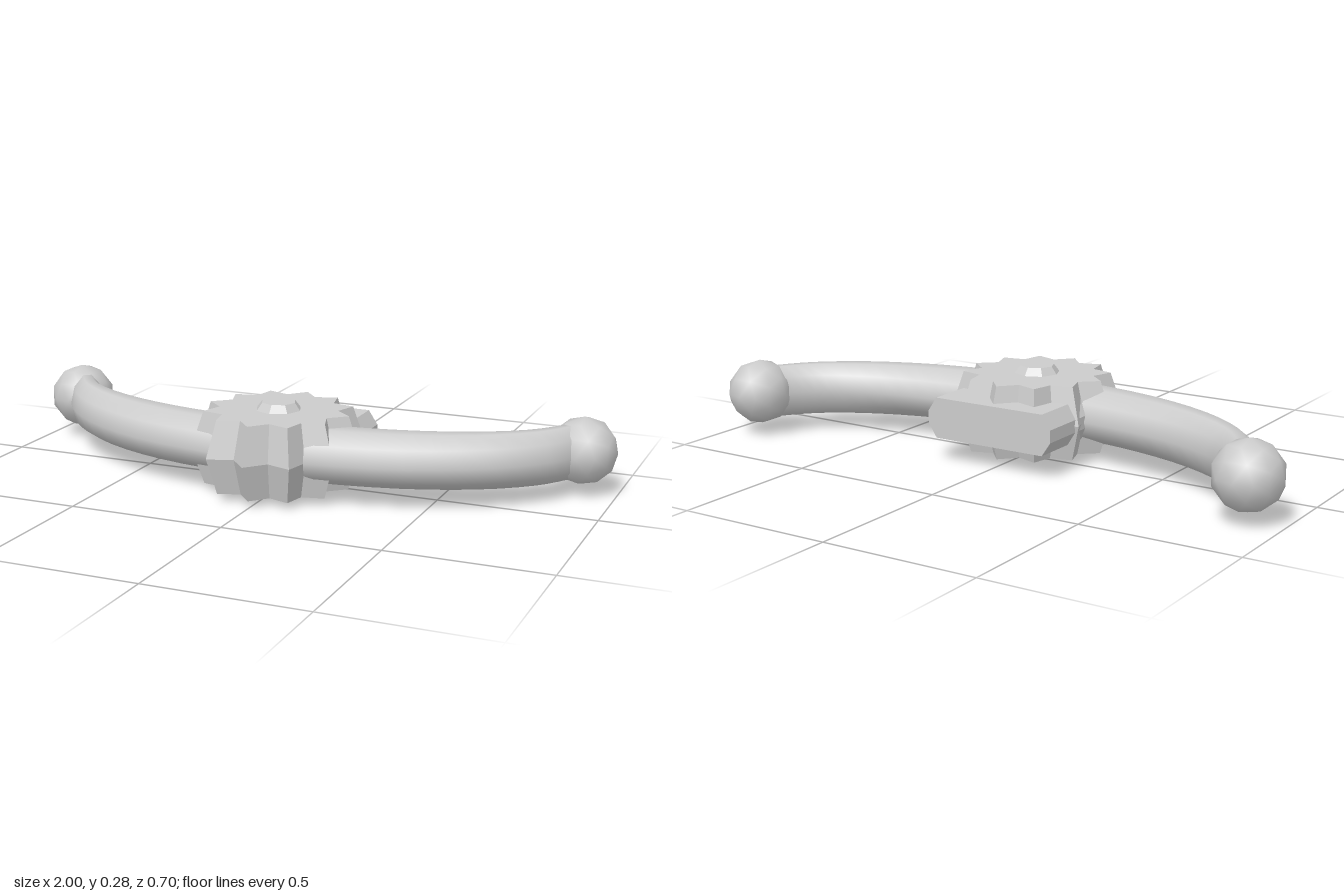
import * as THREE from 'three';

const MID = 0.141;   // mid height of every part
const HUB_Z = 0.077; // axis of the gear and hub

// Faceted normals
function faceted(geometry) {
  const g = geometry.index ? geometry.toNonIndexed() : geometry;
  g.computeVertexNormals();
  return g;
}

// Twelve-pointed gear, swollen at mid height
function gearGeometry() {
  const g = new THREE.CylinderGeometry(1, 1, 0.234, 24, 2);
  const p = g.attributes.position;
  for (let i = 0; i < p.count; i++) {
    const x = p.getX(i), z = p.getZ(i);
    if (Math.hypot(x, z) < 0.5) continue;
    const k = Math.round(Math.atan2(x, z) / (Math.PI / 12));
    const r = (k % 2 === 0 ? 0.235 : 0.187) * (Math.abs(p.getY(i)) < 0.01 ? 1.17 : 1);
    p.setX(i, x * r);
    p.setZ(i, z * r);
  }
  return faceted(g);
}

// Crescent arm running from one end to the other between an outer and an inner curve
function armGeometry() {
  const mirrored = (half) => new THREE.CatmullRomCurve3(
    [...half.slice(1).reverse().map(([x, z]) => [-x, z]), ...half]
      .map(([x, z]) => new THREE.Vector3(x, 0, z)));
  const outer = mirrored([[0, 0.25], [0.155, 0.243], [0.45, 0.183], [0.69, 0.065], [0.835, -0.07], [0.9, -0.18], [0.92, -0.24]]);
  const inner = mirrored([[0, 0], [0.12, -0.001], [0.33, -0.018], [0.53, -0.055], [0.7, -0.125], [0.785, -0.2], [0.82, -0.25]]);
  const section = [[1, 0], [0.8, 0.62], [0.25, 1], [-0.25, 1], [-0.8, 0.62],
    [-1, 0], [-0.8, -0.62], [-0.25, -1], [0.25, -1], [0.8, -0.62]];
  const steps = 36, n = section.length, positions = [], index = [];
  for (let i = 0; i <= steps; i++) {
    const a = outer.getPoint(i / steps), b = inner.getPoint(i / steps);
    for (const [u, v] of section) {
      const q = b.clone().lerp(a, (u + 1) / 2);
      positions.push(q.x, MID + v * 0.085, q.z);
    }
  }
  for (let i = 0; i < steps; i++) {
    for (let j = 0; j < n; j++) {
      const a = i * n + j, b = i * n + (j + 1) % n;
      index.push(a, a + n, b, b, a + n, b + n);
    }
  }
  // End caps
  for (let j = 1; j < n - 1; j++) {
    const e = steps * n;
    index.push(0, j, j + 1, e, e + j + 1, e + j);
  }
  const g = new THREE.BufferGeometry();
  g.setAttribute('position', new THREE.Float32BufferAttribute(positions, 3));
  g.setIndex(index);
  g.computeVertexNormals();
  return g;
}

// Flat block with chamfered ends
function plateGeometry() {
  const w = 0.225, h = 0.065, c = 0.045, d = 0.03;
  const shape = new THREE.Shape([
    [w, -h + c], [w, h - c], [w - d, h], [-w + d, h],
    [-w, h - c], [-w, -h + c], [-w + d, -h], [w - d, -h],
  ].map(([x, y]) => new THREE.Vector2(x, y)));
  return new THREE.ExtrudeGeometry(shape, { depth: 0.24, bevelEnabled: false });
}

export function createModel() {
  const model = new THREE.Group();
  model.name = 'handle';
  const grey = new THREE.MeshStandardMaterial({ color: 0xcccccc });
  grey.name = 'light grey';

  const add = (name, geometry, x, y, z) => {
    const mesh = new THREE.Mesh(geometry, grey);
    mesh.name = name;
    mesh.position.set(x, y, z);
    model.add(mesh);
    return mesh;
  };

  add('gear', gearGeometry(), 0, MID, HUB_Z);
  add('curvedArm', armGeometry(), 0, 0, 0);
  add('backPlate', plateGeometry(), 0, MID, -0.205);

  // Tapered hub caps above and below the gear
  add('topHub', faceted(new THREE.CylinderGeometry(0.055, 0.073, 0.024, 8)), 0, 0.27, HUB_Z);
  add('bottomHub', faceted(new THREE.CylinderGeometry(0.073, 0.055, 0.024, 8)), 0, 0.012, HUB_Z);

  // Ball ends
  for (const side of [-1, 1]) {
    const ball = add(side > 0 ? 'leftBall' : 'rightBall',
      new THREE.IcosahedronGeometry(0.108, 1), side * 0.892, MID, -0.241);
    ball.rotation.y = Math.PI / 2;
  }
  return model;
}
